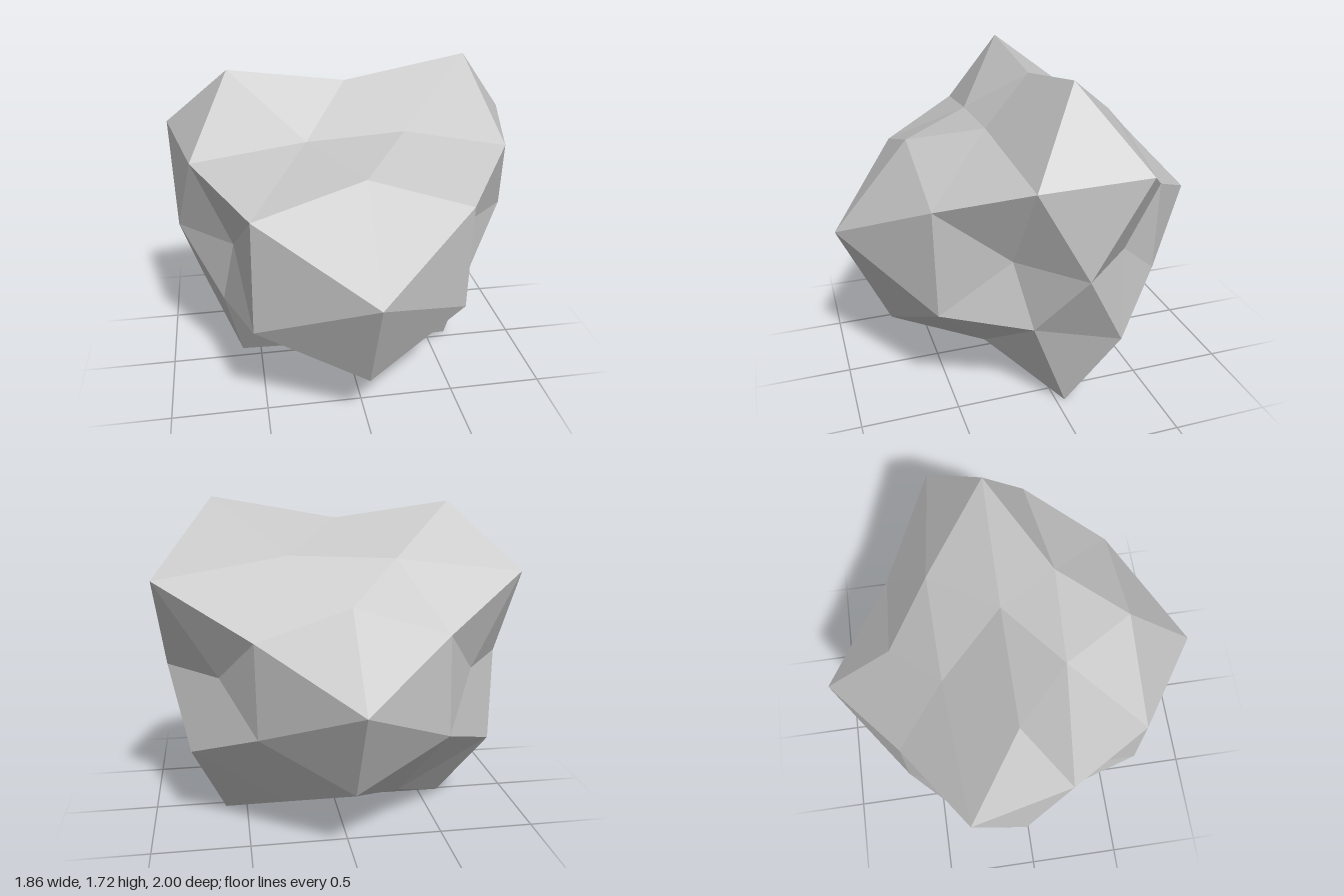
import * as THREE from 'three';

// Each family of directions lists its radii by sign, in the order
// +++ ++- +-+ +-- -++ -+- --+ --- (a zero axis takes + only).
const FAMILIES = [
  // corners of the icosahedron
  { dir: [0.5257, 0.8507, 0], r: [1.187, 1.172, 1.135, 1.15] },
  { dir: [0, 0.5257, 0.8507], r: [1.02, 0.886, 1.238, 1.09] },
  { dir: [0.8507, 0, 0.5257], r: [0.695, 0.736, 0.73, 0.785] },
  // edge midpoints on the axes
  { dir: [1, 0, 0], r: [0.892, 0.9] },
  { dir: [0, 1, 0], r: [0.875, 0.974] },
  { dir: [0, 0, 1], r: [1.393, 1.273] },
  // remaining edge midpoints
  { dir: [0.309, 0.809, 0.5], r: [0.81, 0.88, 0.9, 0.96, 0.76, 0.838, 0.89, 0.93] },
  { dir: [0.5, 0.309, 0.809], r: [1.057, 0.92, 1.04, 0.905, 1.085, 0.95, 1.11, 0.97] },
  { dir: [0.809, 0.5, 0.309], r: [1.003, 1.15, 0.825, 0.968, 1.0, 1.15, 0.853, 1.0] },
];

// Radius of the rock along one of the directions above
function radiusAt(v) {
  const a = v.toArray();
  const family = FAMILIES.find(({ dir }) =>
    dir.every((d, i) => Math.abs(Math.abs(a[i]) - d) < 0.02));
  let index = 0;
  family.dir.forEach((d, i) => {
    if (d > 0) index = index * 2 + (a[i] < 0 ? 1 : 0);
  });
  return family.r[index];
}

export function createModel() {
  const group = new THREE.Group();
  group.name = 'boulder';

  const stone = new THREE.MeshStandardMaterial({ color: 0xc4c4c4 });
  stone.name = 'pale stone grey';

  // Faceted sphere, pushed in and out at each corner, then squashed
  const geometry = new THREE.IcosahedronGeometry(1, 1);
  const position = geometry.attributes.position;
  const squash = new THREE.Vector3(1, 0.857, 0.75);
  const centre = new THREE.Vector3(0, 0.855, -0.045);
  const v = new THREE.Vector3();
  for (let i = 0; i < position.count; i++) {
    v.fromBufferAttribute(position, i).normalize();
    v.multiplyScalar(radiusAt(v)).multiply(squash).add(centre);
    position.setXYZ(i, v.x, v.y, v.z);
  }
  geometry.computeVertexNormals(); // unshared corners give flat facets

  const rock = new THREE.Mesh(geometry, stone);
  rock.name = 'rock';
  group.add(rock);
  return group;
}
